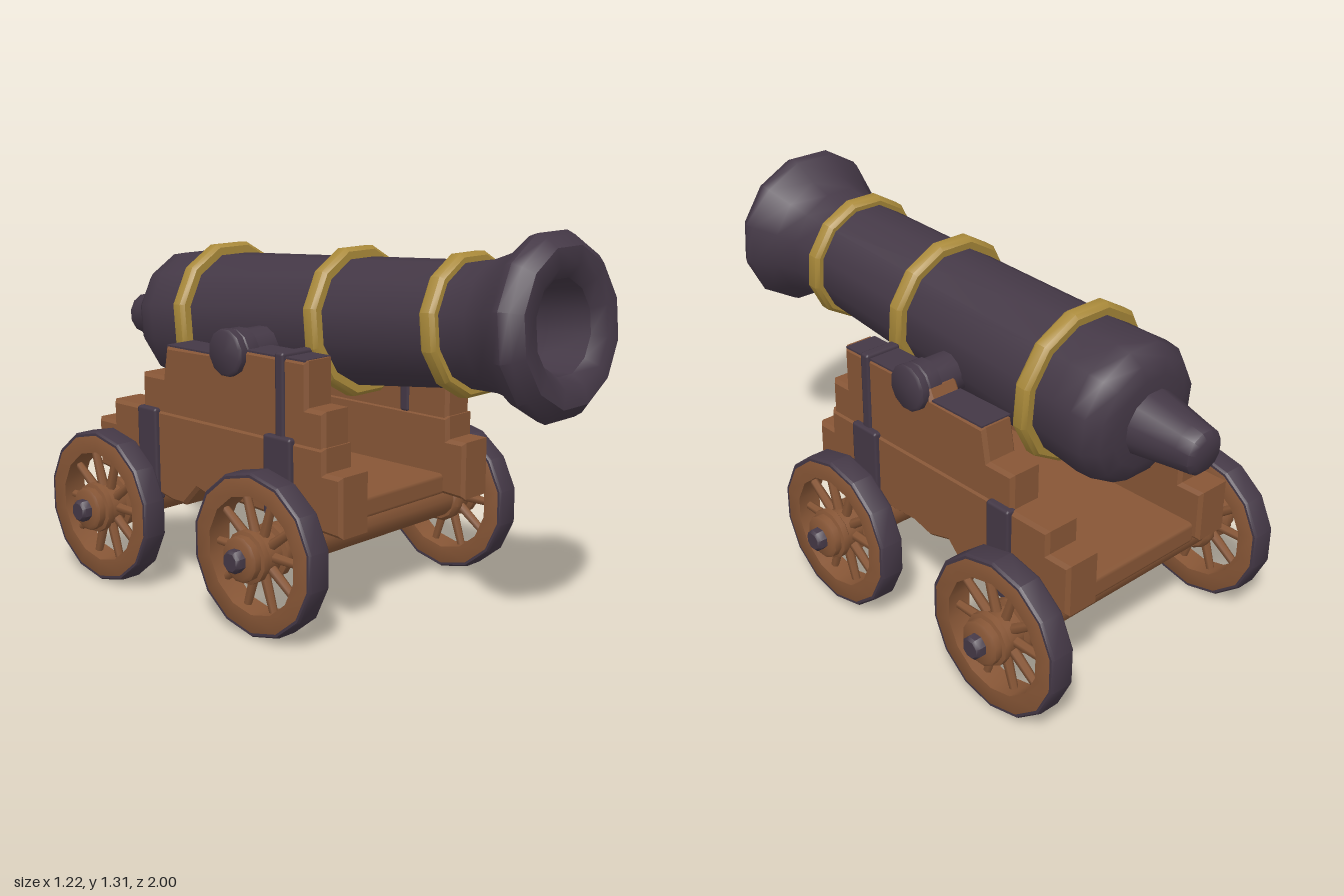
import * as THREE from 'three';
import { toCreasedNormals } from 'three/addons/utils/BufferGeometryUtils.js';
import { RoundedBoxGeometry } from 'three/addons/geometries/RoundedBoxGeometry.js';

const mat = (name, color) => {
  const m = new THREE.MeshStandardMaterial({ color });
  m.name = name;
  return m;
};

export function createModel() {
  const iron = mat('dark iron', 0x443846);
  const wood = mat('brown wood', 0x875636);
  const brass = mat('brass', 0xaa8a3a);
  const root = new THREE.Group();
  root.name = 'cannon';

  const add = (parent, name, geometry, material, x = 0, y = 0, z = 0) => {
    const m = new THREE.Mesh(geometry, material);
    m.name = name;
    m.position.set(x, y, z);
    parent.add(m);
    return m;
  };

  // Faceted turned part with flats facing the axes; pairs are [radius, height]
  const lathe = (pairs, sides) => {
    const k = 1 / Math.cos(Math.PI / sides);
    const pts = pairs.map(([r, h]) => new THREE.Vector2(r * k, h));
    return toCreasedNormals(new THREE.LatheGeometry(pts, sides, Math.PI / sides), 0.75);
  };

  const box = (w, h, d, r = 0.01) => new RoundedBoxGeometry(w, h, d, 1, r);

  // Barrel, tilted with the muzzle up
  const barrel = new THREE.Group();
  barrel.name = 'barrel';
  barrel.position.y = 0.947;
  barrel.rotation.x = Math.PI / 2 - 0.087;
  root.add(barrel);

  add(barrel, 'barrelBody', lathe([
    [0, -1], [0.055, -1], [0.073, -0.985], [0.08, -0.94], [0.108, -0.78],
    [0.15, -0.775], [0.2, -0.76], [0.23, -0.715], [0.235, -0.66], [0.23, -0.58], [0.225, -0.45],
    [0.193, 0.64], [0.2, 0.74], [0.222, 0.82], [0.272, 0.895], [0.28, 0.925], [0.265, 0.955],
    [0.235, 0.985], [0.18, 0.985], [0.142, 0.95], [0.135, 0.8], [0.13, -0.2], [0, -0.1],
  ], 12), iron);

  // Brass bands around the barrel
  for (const [s, r] of [[-0.48, 0.264], [0.14, 0.244], [0.61, 0.222]]) {
    add(barrel, 'brassBand', lathe([
      [r - 0.06, -0.028], [r - 0.012, -0.03], [r, -0.017],
      [r, 0.017], [r - 0.012, 0.03], [r - 0.06, 0.028],
    ], 12), brass, 0, s, 0);
  }

  // Stepped side plank from a [z, y] outline, centred on x
  const plank = (outline, depth) => {
    const b = 0.012;
    const shape = new THREE.Shape(outline.map(([z, y]) => new THREE.Vector2(z, y)));
    const g = new THREE.ExtrudeGeometry(shape, {
      depth: depth - 2 * b, bevelEnabled: true, bevelThickness: b,
      bevelSize: b, bevelOffset: -b, bevelSegments: 1,
    });
    g.translate(0, 0, b - depth / 2);
    return g.rotateY(-Math.PI / 2);
  };
  const lowerPlank = plank([
    [0.405, 0.34], [0.405, 0.54], [0.332, 0.54], [0.332, 0.62], [-0.72, 0.62], [-0.72, 0.54],
    [-0.81, 0.54], [-0.81, 0.36], [-0.55, 0.33], [-0.4, 0.3], [-0.34, 0.3], [-0.27, 0.37],
    [-0.18, 0.345], [-0.1, 0.365],
  ], 0.135);
  const upperPlank = plank([
    [0.325, 0.6], [0.325, 0.735], [0.25, 0.735], [0.25, 0.885], [-0.175, 0.885], [-0.19, 0.855],
    [-0.43, 0.85], [-0.45, 0.74], [-0.56, 0.74], [-0.56, 0.6],
  ], 0.123);

  // Mirrored cheeks, straps and trunnions
  for (const side of [1, -1]) {
    const cheek = new THREE.Group();
    cheek.name = side > 0 ? 'leftCheek' : 'rightCheek';
    root.add(cheek);
    add(cheek, 'lowerPlank', lowerPlank, wood, side * 0.304, 0, 0);
    add(cheek, 'upperPlank', upperPlank, wood, side * 0.303, 0, 0);
    add(cheek, 'frontTopPlate', new THREE.BoxGeometry(0.12, 0.006, 0.4), iron, side * 0.303, 0.884, 0.04);
    add(cheek, 'rearTopPlate', new THREE.BoxGeometry(0.12, 0.006, 0.23), iron, side * 0.303, 0.852, -0.307);
    add(cheek, 'frontStrapTop', box(0.14, 0.29, 0.04), iron, side * 0.304, 0.755, 0.135);
    add(cheek, 'frontStrap', box(0.04, 0.27, 0.125), iron, side * 0.368, 0.495, 0.135);
    add(cheek, 'rearStrap', box(0.04, 0.33, 0.1), iron, side * 0.368, 0.46, -0.515);

    const trunnion = add(cheek, 'trunnion', lathe([
      [0, 0.15], [0.068, 0.15], [0.068, 0.3], [0.075, 0.305], [0.075, 0.35], [0.07, 0.355],
      [0.077, 0.36], [0.077, 0.385], [0.068, 0.393], [0, 0.393],
    ], 12), iron, 0, 0.87, -0.1);
    trunnion.rotation.z = -side * Math.PI / 2;
  }

  // Floor between the cheeks
  add(root, 'floor', box(0.5, 0.075, 1.1, 0.015), wood, 0, 0.38, -0.235);

  // Wheel parts, turned around the local y axis
  const rim = lathe([
    [0.192, -0.043], [0.25, -0.045], [0.257, -0.04], [0.257, 0.04],
    [0.25, 0.045], [0.192, 0.043], [0.192, -0.043],
  ], 14);
  const tyre = lathe([
    [0.25, -0.044], [0.26, -0.044], [0.266, -0.036],
    [0.266, 0.036], [0.26, 0.044], [0.25, 0.044],
  ], 14);
  const hub = lathe([
    [0, -0.072], [0.078, -0.072], [0.088, -0.06], [0.088, -0.035], [0.07, -0.03], [0.07, 0.03],
    [0.085, 0.04], [0.085, 0.062], [0.073, 0.066], [0.073, 0.09], [0.062, 0.097], [0, 0.097],
  ], 12);
  const pin = lathe([[0, 0.08], [0.036, 0.08], [0.036, 0.122], [0.028, 0.131], [0, 0.131]], 8);
  const spoke = new THREE.CylinderGeometry(0.014, 0.018, 0.15, 6);
  const SPOKES = 10;

  for (const z of [0.152, -0.635]) {
    const axle = add(root, z > 0 ? 'frontAxle' : 'rearAxle',
      new THREE.CylinderGeometry(0.077, 0.077, 0.84, 12), wood, 0, 0.275, z);
    axle.rotation.z = Math.PI / 2;

    for (const side of [1, -1]) {
      const wheel = new THREE.Group();
      wheel.name = (z > 0 ? 'front' : 'rear') + (side > 0 ? 'Left' : 'Right') + 'Wheel';
      wheel.position.set(side * 0.477, 0.267, z);
      wheel.rotation.z = -side * Math.PI / 2;
      root.add(wheel);
      add(wheel, 'rim', rim, wood);
      add(wheel, 'tyre', tyre, iron);
      add(wheel, 'hub', hub, wood);
      add(wheel, 'axlePin', pin, iron);
      for (let i = 0; i < SPOKES; i++) {
        const a = (i + 0.5) / SPOKES * Math.PI * 2;
        const s = add(wheel, 'spoke', spoke, wood, Math.cos(a) * 0.13, 0, Math.sin(a) * 0.13);
        s.rotation.set(0, -a, -Math.PI / 2);
      }
    }
  }
  return root;
}
